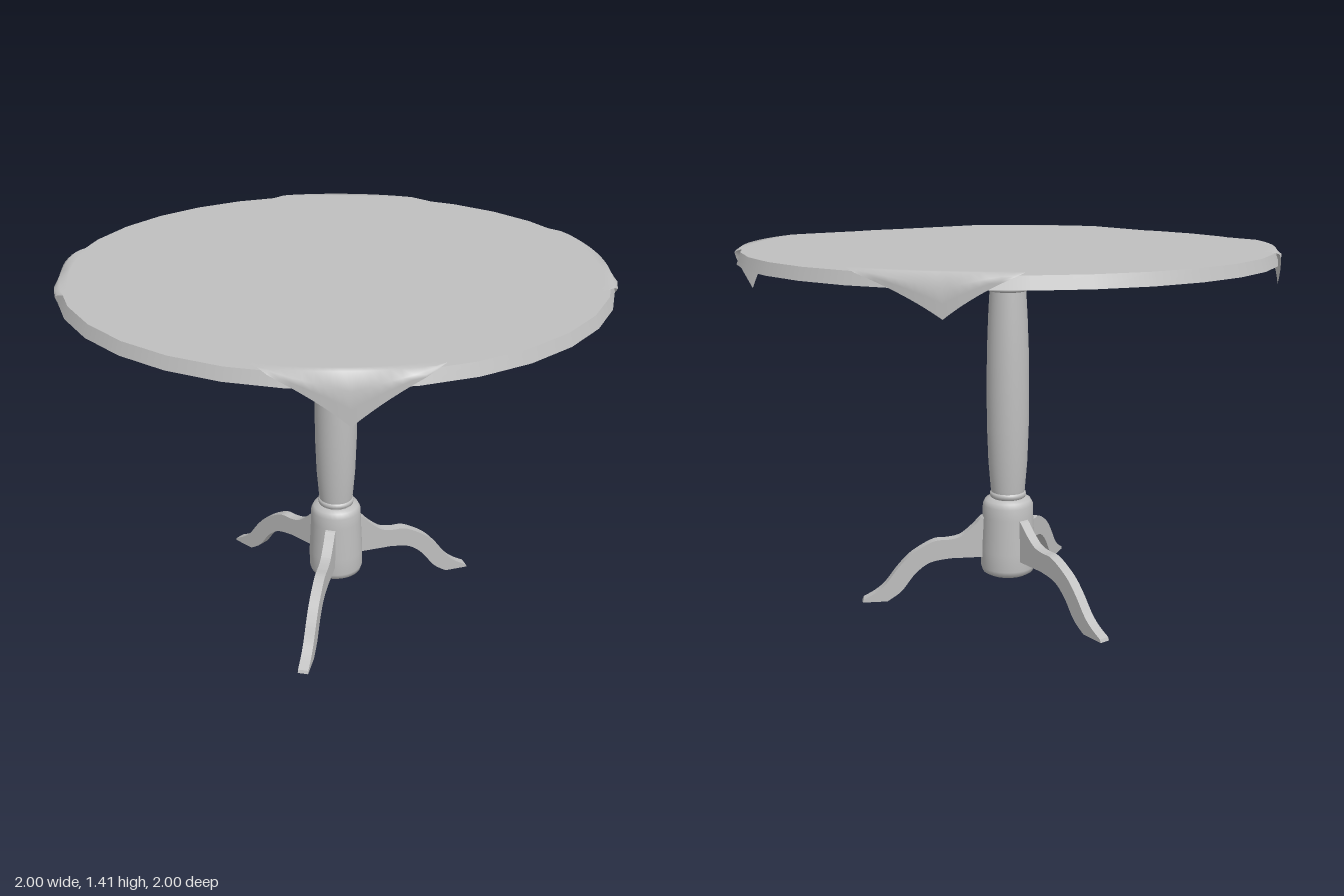
import * as THREE from 'three';

const V2 = (p) => new THREE.Vector2(p[0], p[1]);

// Turned part: each run of profile points is smooth, with a crisp edge between runs
function turned(name, runs, material, sides = 32) {
  const group = new THREE.Group();
  group.name = name;
  for (const run of runs) {
    group.add(new THREE.Mesh(new THREE.LatheGeometry(run.map(V2), sides), material));
  }
  return group;
}

// Square cloth: flat on the table, with corners that hang down past the rim
function clothGeometry() {
  const corners = [[-0.875, -0.835], [-0.857, 0.85], [0.902, 0.89], [0.912, -0.805]];
  const drops = [0.14, 0.17, 0.185, 0.14];
  const topY = 1.409, rim = 0.985, steps = 40;
  const positions = [0, topY, 0], index = [];
  const rings = 7, count = steps * 4;
  for (let i = 0; i < count; i++) {
    const side = Math.floor(i / steps), t = (i % steps) / steps;
    const a = corners[side], b = corners[(side + 1) % 4];
    const x = a[0] + (b[0] - a[0]) * t, z = a[1] + (b[1] - a[1]) * t;
    const reach = Math.hypot(x, z);
    const near = t < 0.5 ? side : (side + 1) % 4;
    const fall = drops[near] / (Math.hypot(...corners[near]) - rim);
    const over = Math.max(0, reach - rim);
    const flat = Math.min(reach, rim);
    for (let r = 0; r < rings; r++) {
      let radius = flat * [0.5, 0.9, 0.97, 1][Math.min(r, 3)], y = topY;
      if (r > 3) {
        const d = over * (r - 3) / 3;
        radius = flat + Math.min(d, 0.02);
        y = topY - d * fall;
      }
      positions.push(x / reach * radius, y, z / reach * radius);
    }
  }
  for (let i = 0; i < count; i++) {
    const p = 1 + i * rings, q = 1 + ((i + 1) % count) * rings;
    index.push(0, p, q);
    for (let r = 0; r < rings - 1; r++) {
      index.push(p + r, p + r + 1, q + r + 1, p + r, q + r + 1, q + r);
    }
  }
  const geometry = new THREE.BufferGeometry();
  geometry.setAttribute('position', new THREE.Float32BufferAttribute(positions, 3));
  geometry.setIndex(index);
  geometry.computeVertexNormals();
  return geometry;
}

// Curved leg outline: x runs outward from the column, y is up
function legGeometry() {
  const shape = new THREE.Shape();
  shape.moveTo(0.07, 0.17);
  shape.lineTo(0.235, 0.17);
  shape.splineThru([[0.315, 0.155], [0.375, 0.11], [0.43, 0.04], [0.487, 0]].map(V2));
  shape.lineTo(0.585, 0);
  shape.lineTo(0.58, 0.012);
  shape.splineThru([[0.53, 0.04], [0.49, 0.075], [0.44, 0.14], [0.385, 0.195], [0.3, 0.243],
    [0.24, 0.248], [0.19, 0.26], [0.14, 0.3], [0.105, 0.335], [0.07, 0.34]].map(V2));
  shape.closePath();
  const geometry = new THREE.ExtrudeGeometry(shape, { depth: 0.04, bevelEnabled: false, curveSegments: 5 });
  geometry.translate(0, 0, -0.02);
  return geometry;
}

export function createModel() {
  const model = new THREE.Group();
  model.name = 'pedestalTable';
  const grey = new THREE.MeshStandardMaterial({ color: 0xbfbfbf });
  grey.name = 'grey';
  const clothGrey = grey.clone();
  clothGrey.side = THREE.DoubleSide;

  // Round top with a sloped edge
  const top = new THREE.Mesh(new THREE.CylinderGeometry(0.985, 1, 0.043, 32), grey);
  top.name = 'tableTop';
  top.position.y = 1.3785;
  model.add(top);

  const cloth = new THREE.Mesh(clothGeometry(), clothGrey);
  cloth.name = 'tablecloth';
  model.add(cloth);

  // Column from the floor hub up to the cup under the top
  model.add(turned('hub', [
    [[0, 0.1], [0.085, 0.1]],
    [[0.085, 0.1], [0.102, 0.11], [0.108, 0.13], [0.108, 0.2], [0.101, 0.34], [0.1, 0.385], [0.09, 0.405], [0.07, 0.413]],
    [[0.07, 0.413], [0, 0.413]],
  ], grey));
  model.add(turned('lowerRing', [
    [[0.062, 0.411], [0.07, 0.417], [0.072, 0.427], [0.07, 0.435], [0.062, 0.44]],
  ], grey));
  model.add(turned('shaft', [
    [[0.066, 0.436], [0.068, 0.45], [0.077, 0.56], [0.082, 0.7], [0.083, 0.85], [0.081, 1], [0.076, 1.13], [0.07, 1.235]],
  ], grey));
  model.add(turned('upperRing', [
    [[0.068, 1.23], [0.077, 1.234], [0.079, 1.242], [0.077, 1.25], [0.068, 1.254]],
  ], grey));
  model.add(turned('cup', [
    [[0, 1.252], [0.085, 1.252]],
    [[0.085, 1.252], [0.112, 1.262], [0.133, 1.282], [0.146, 1.308], [0.15, 1.325]],
    [[0.15, 1.325], [0.155, 1.33], [0.155, 1.36]],
  ], grey));

  // Three legs, one pointing straight back
  const legShape = legGeometry();
  for (let i = 0; i < 3; i++) {
    const leg = new THREE.Mesh(legShape, grey);
    leg.name = 'leg' + (i + 1);
    leg.rotation.y = Math.PI / 2 + i * Math.PI * 2 / 3;
    model.add(leg);
  }
  return model;
}
